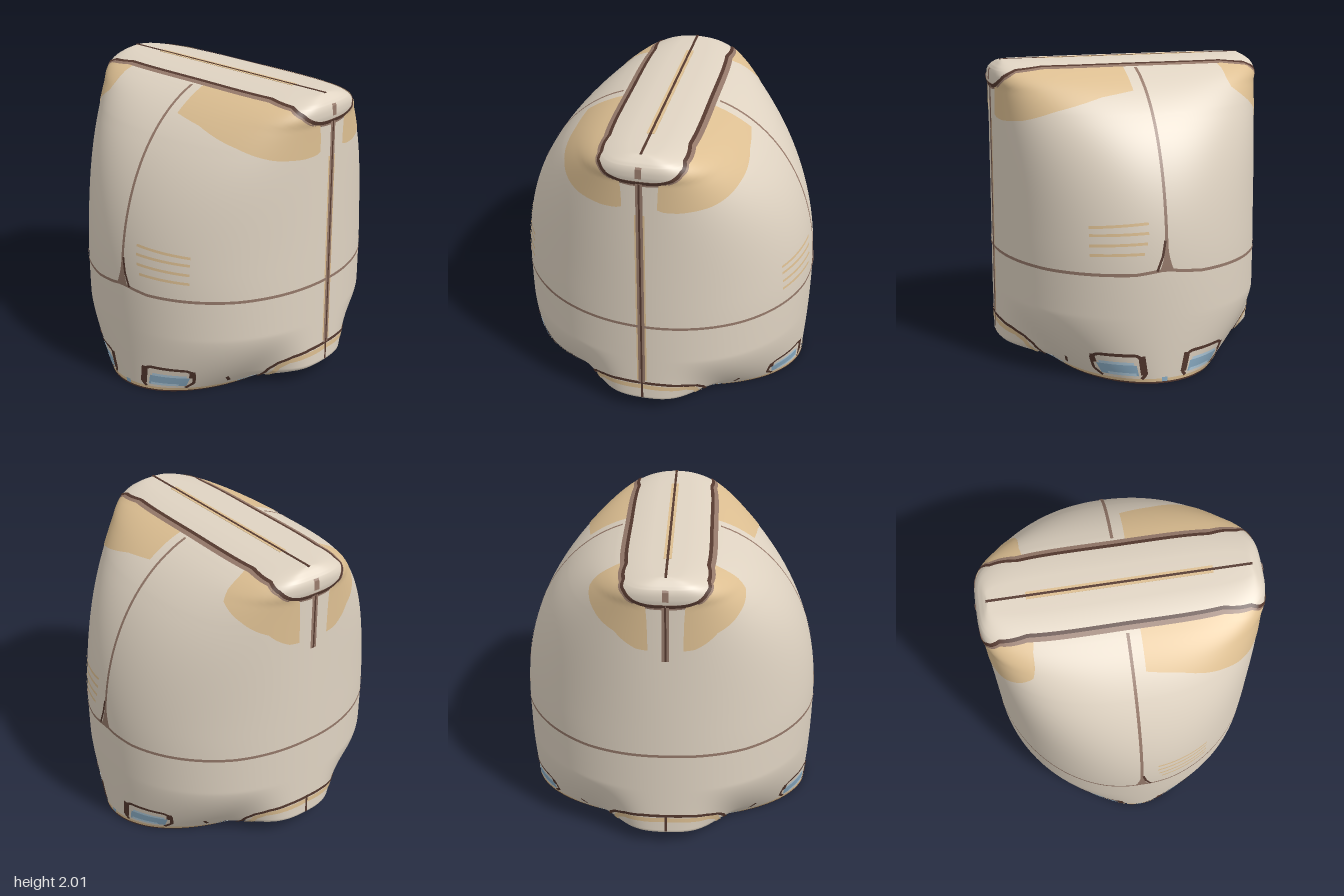
import * as THREE from 'three';

const mat = (name, color) => new THREE.MeshStandardMaterial({ name, color, side: THREE.DoubleSide });

// Piecewise linear lookup in [[key, value], ...]
function table(rows, k) {
  if (k <= rows[0][0]) return rows[0][1];
  for (let i = 1; i < rows.length; i++) {
    const [k0, v0] = rows[i - 1], [k1, v1] = rows[i];
    if (k <= k1) return v0 + (v1 - v0) * (k - k0) / (k1 - k0);
  }
  return rows[rows.length - 1][1];
}

const SIDE_REACH = [[0, 0.6], [0.03, 0.68], [0.06, 0.83], [0.085, 0.88], [0.11, 0.905], [1.83, 0.902], [1.87, 0.912], [1.93, 0.908], [1.96, 0.885], [1.985, 0.855], [2, 0.83]];
const SIDE_HEIGHT = [[0, 0], [0.03, 0.06], [0.06, 0.068], [0.11, 0.11], [2, 2]];
const CAP_EDGE = [[0, 1.968], [0.7, 1.967], [0.88, 1.95], [0.95, 1.91], [0.985, 1.86], [1, 1.835]];
const capEdge = th => table(CAP_EDGE, Math.abs(Math.cos(th)));
// Cross-section runs from oval at the waist to nearly square at the ridge
const squareness = t => {
  const k = Math.max(0, (t - 0.9) / 1.1);
  return 2 + 0.75 * k * k + 2.2 * k ** 12;
};

// Body surface: th runs round the body from +x through the front, t runs from hem to ridge
function surface(th, t) {
  t = Math.min(2, Math.max(0, t));
  const c = Math.cos(th), n = squareness(t);
  const depth = t > 0.7
    ? Math.pow(Math.max(0, 1 - Math.pow((t - 0.7) / 1.3, 2.2)), 0.4545)
    : 1 - 0.03 * ((0.7 - t) / 0.7) ** 2;
  const z = Math.sign(Math.sin(th)) * depth * Math.pow(Math.max(0, 1 - Math.pow(Math.abs(c), n)), 1 / n);
  let reach = table(SIDE_REACH, t), y = t;
  if (t < 0.45) { // narrow hem with a bulge left standing on each side
    const narrow = 0.905 - 0.305 * ((0.45 - t) / 0.45) ** 1.6;
    const g = Math.exp(-((z / 0.37) ** 4));
    reach = narrow + (reach - narrow) * g;
    y = t + (table(SIDE_HEIGHT, t) - t) * g;
  }
  return new THREE.Vector3(c * reach, y, z);
}

function normalAt(th, t) {
  const e = 0.004;
  const dTh = surface(th + e, t).sub(surface(th - e, t));
  const dT = surface(th, t + e).sub(surface(th, t - e));
  return dT.cross(dTh).normalize();
}

// Mesh from a grid of points
function gridMesh(name, material, nu, nv, point) {
  const pos = [], idx = [];
  for (let j = 0; j <= nv; j++)
    for (let i = 0; i <= nu; i++) pos.push(...point(i / nu, j / nv).toArray());
  for (let j = 0; j < nv; j++)
    for (let i = 0; i < nu; i++) {
      const a = j * (nu + 1) + i, b = a + 1, c = a + nu + 1, d = c + 1;
      idx.push(a, c, b, b, c, d);
    }
  const g = new THREE.BufferGeometry();
  g.setAttribute('position', new THREE.Float32BufferAttribute(pos, 3));
  g.setIndex(idx);
  g.computeVertexNormals();
  const mesh = new THREE.Mesh(g, material);
  mesh.name = name;
  return mesh;
}

// Painted line of given width along [th, t] points
function ribbon(name, material, path, width, lift = 0.005, steps = 48) {
  const at = s => {
    const f = Math.min(0.99999, Math.max(0, s)) * (path.length - 1), i = Math.floor(f), k = f - i;
    return [0, 1].map(q => path[i][q] + (path[i + 1][q] - path[i][q]) * k);
  };
  return gridMesh(name, material, steps, 1, (u, v) => {
    const [th, t] = at(u), nrm = normalAt(th, t);
    const tan = surface(...at(u + 0.01)).sub(surface(...at(u - 0.01))).normalize();
    const w = typeof width === 'function' ? width(u) : width;
    return surface(th, t).addScaledVector(nrm, lift).addScaledVector(nrm.clone().cross(tan), (v - 0.5) * w);
  });
}

// Painted area between two heights
function patch(name, material, th0, th1, low, high, lift = 0.004) {
  return gridMesh(name, material, 40, 12, (u, v) => {
    const th = th0 + (th1 - th0) * u, a = low(th), b = high(th), t = a + (b - a) * v;
    return surface(th, t).addScaledVector(normalAt(th, t), lift);
  });
}

export function createModel() {
  const model = new THREE.Group();
  model.name = 'hood';
  const cloth = mat('cream cloth', 0xdfd3c2), tan = mat('tan', 0xddbf92), seam = mat('seam brown', 0x95796a);
  const dark = mat('dark brown', 0x55392f), blue = mat('blue', 0x8db0c8), pale = mat('pale blue', 0xb4d0e2);
  const PI = Math.PI, H = PI / 2;
  const add = (...m) => model.add(...m);

  // Shell, open at the hem and closing to a ridge on top
  const levels = [];
  for (let t = 0; t < 0.495; t += 0.0125) levels.push(t);
  for (let t = 0.5; t < 1.69; t += 0.05) levels.push(t);
  for (let t = 1.7; t < 1.935; t += 0.02) levels.push(t);
  for (let t = 1.94; t < 1.999; t += 0.005) levels.push(t);
  levels.push(2);
  add(gridMesh('shell', cloth, 240, levels.length - 1, (u, v) => {
    const a = -u * 2 * PI;
    return surface(a - 0.22 * Math.sin(2 * a), levels[Math.round(v * (levels.length - 1))]);
  }));

  // Ridge line along the top
  const bar = (name, m, w, d, y) => {
    const b = new THREE.Mesh(new THREE.BoxGeometry(w, 0.006, d), m);
    b.name = name;
    b.position.y = y;
    add(b);
  };
  bar('ridgeTan', tan, 1.18, 0.05, 1.998);
  bar('ridgeLine', dark, 1.68, 0.016, 1.999);

  // Details repeated on front and back
  for (const s of [1, -1]) {
    const line = (name, m, pts, w, lift, steps) => add(ribbon(name, m, pts.map(([a, t]) => [s * a, t]), w, lift, steps));
    const area = (name, m, a, b, low, high, lift) => add(patch(name, m, s * a, s * b, low, high, lift));

    // Cap edge
    const edge = d => Array.from({ length: 97 }, (_, i) => {
      const th = i / 96 * PI;
      return [th, capEdge(th) + d];
    });
    line('capEdgeShade', seam, edge(-0.007), 0.036, 0.004, 192);
    line('capEdge', dark, edge(0), 0.024, 0.006, 192);

    // Shoulder patches
    const under = th => capEdge(th) - 0.012;
    area('wideShoulderPatch', tan, 0.1, 1.48,
      th => table([[0.09, 1.83], [0.33, 1.8], [0.66, 1.72], [0.87, 1.65], [0.97, 1.63], [0.99, 1.635], [0.998, 1.66]], Math.cos(th)), under);
    area('narrowShoulderPatch', tan, PI - 0.1, PI - 0.86,
      th => table([[0.65, 1.88], [0.68, 1.82], [0.83, 1.72], [0.94, 1.63], [0.985, 1.53], [1, 1.52]], -Math.cos(th)), under);

    // Centre seam flaring into the waist seam
    const waist = [[0, 0.73], [0.7, 0.725], [1.35, 0.735], [1.5, 0.755], [H, 0.765], [1.66, 0.75], [1.85, 0.73], [2.6, 0.72], [PI, 0.735]];
    for (const lift of [0.005, -0.005]) {
      line('centreSeam', seam, [[H, 1.95], [H, 0.75]], u => 0.02 + 0.08 * Math.max(0, (u - 0.85) / 0.15) ** 2, lift);
      line('waistSeam', seam, waist, 0.02, lift, 128);
    }
    line('centreSeamShade', dark, [[H - 0.01, 0.95], [H - 0.03, 0.85], [H - 0.07, 0.755]], 0.016, 0.007);

    // Short stripes
    for (const [x, t0, t1] of [[0.11, 1.06, 1.03], [0.11, 1.0, 0.98], [0.12, 0.935, 0.915], [0.14, 0.87, 0.855]])
      line('stripe', tan, [[Math.acos(x / 0.9), t0], [Math.acos(0.46 / 0.9), t1]], 0.018);

    // Hem band
    line('hemBand', tan, [[0, 0.016], [PI, 0.016]], 0.028, 0.004, 160);
    line('hemLine', dark, [[0, 0.004], [PI, 0.004]], 0.012, 0.006, 160);
    area('hemCentre', blue, H - 0.03, H + 0.03, () => 0.01, () => 0.04, 0.006);

    // Windows and side arches, mirrored left to right
    for (const m of [a => a, a => PI - a]) {
      const mLine = (name, c, pts, w, lift) => line(name, c, pts.map(([a, t]) => [m(a), t]), w, lift);
      const mArea = (name, c, a, b, t0, t1, lift) => area(name, c, m(a), m(b), () => t0, () => t1, lift);
      mArea('windowPane', blue, 0.97, 1.32, 0.05, 0.125, 0.004);
      mArea('windowGlint', pale, 1.0, 1.3, 0.125, 0.145, 0.004);
      mArea('windowGlint', pale, 1.04, 1.3, 0.05, 0.07, 0.006);
      mLine('windowFrame', dark, [[1.34, 0.03], [1.385, 0.06], [1.38, 0.17], [1.33, 0.195], [1.02, 0.195], [0.95, 0.17], [0.92, 0.08], [0.97, 0.035]], 0.022, 0.006);
      mLine('windowFrameSide', dark, [[1.375, 0.06], [1.375, 0.19]], 0.045, 0.007);
      mLine('windowFrameCorner', dark, [[0.96, 0.13], [0.97, 0.19]], 0.035, 0.007);
      mLine('hemTick', dark, [[0.67, 0.11], [0.62, 0.06]], 0.022, 0.005);
      mArea('lowerPane', pale, 0.22, 0.53, 0.018, 0.036, 0.006);
      mLine('archTrim', tan, [[0.37, 0.06], [0.35, 0.15], [0.3, 0.19], [0.18, 0.205], [0, 0.215]], 0.035, 0.004);
      mLine('archLine', dark, [[0.42, 0.06], [0.4, 0.14], [0.36, 0.19], [0.28, 0.225], [0.15, 0.245], [0, 0.25]], 0.022, 0.006);
    }
  }

  // Side seams: full on the left, partly hidden on the right
  for (const [th, end] of [[0, 0.25], [PI, 1.45]]) {
    add(ribbon('sideSeam', seam, [[th, 1.83], [th, end]], 0.045, 0.006));
    add(ribbon('sideSeamLine', dark, [[th, 1.83], [th, end]], 0.012, 0.008));
    add(ribbon('sideSeamInside', seam, [[th, 1.8], [th, 0.3]], 0.025, -0.005));
    add(ribbon('capEndMark', seam, [[th, 1.94], [th, 1.87]], 0.04, 0.006));
    add(ribbon('archSeam', dark, [[th, 0.25], [th, 0.12]], 0.016, 0.006));
  }
  add(ribbon('sideSeamTrim', tan, [[0, 1.6], [0, 0.27]], 0.066, 0.004));
  return model;
}
